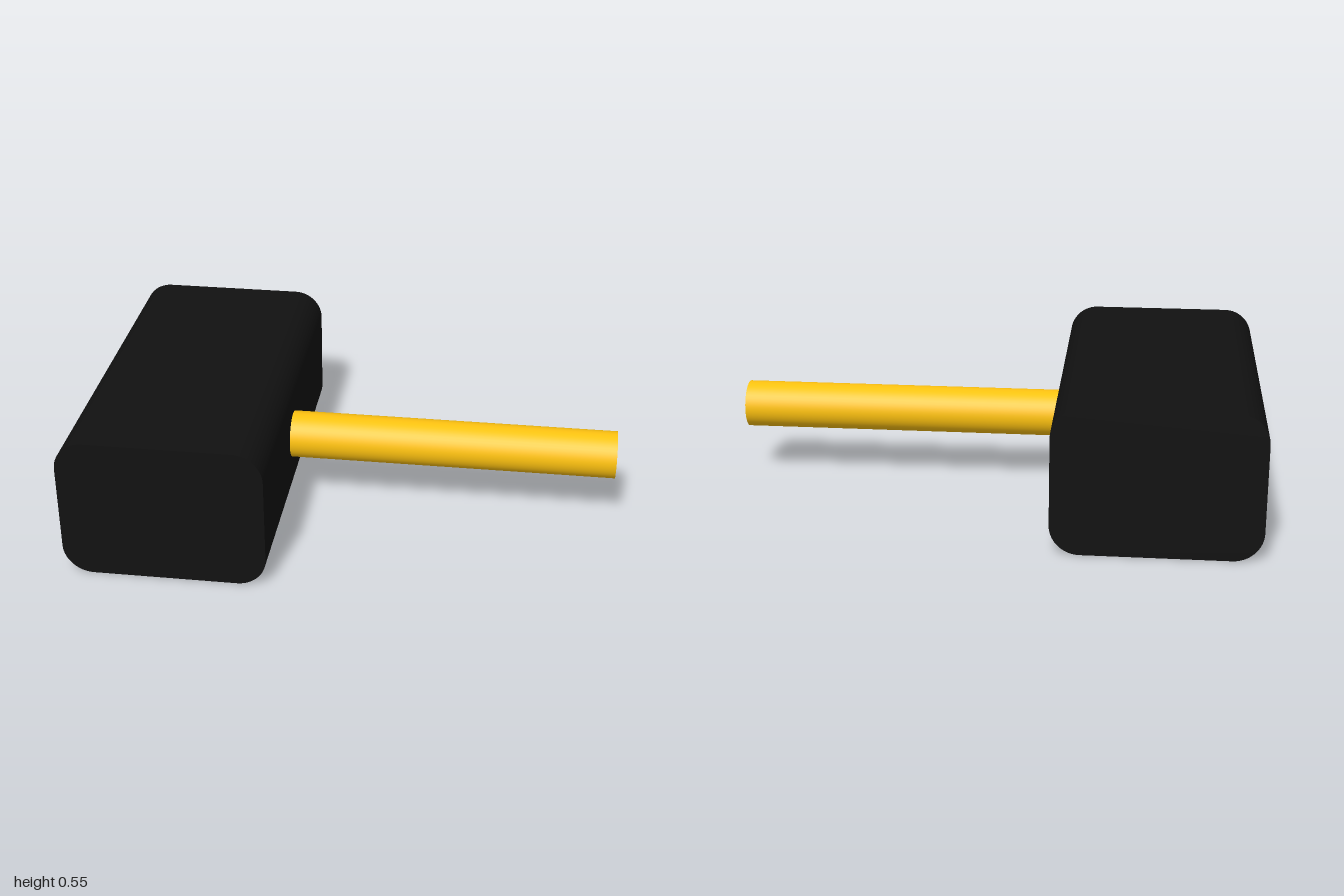
import * as THREE from 'three';
import { toCreasedNormals } from 'three/addons/utils/BufferGeometryUtils.js';

// Rounded rectangle, counter-clockwise, from (x0, y0) to (x1, y1)
function roundedRect(x0, y0, x1, y1, r) {
  const s = new THREE.Shape();
  s.absarc(x1 - r, y0 + r, r, -Math.PI / 2, 0);
  s.absarc(x1 - r, y1 - r, r, 0, Math.PI / 2);
  s.absarc(x0 + r, y1 - r, r, Math.PI / 2, Math.PI);
  s.absarc(x0 + r, y0 + r, r, Math.PI, Math.PI * 1.5);
  s.closePath();
  return s;
}

export function createModel() {
  const model = new THREE.Group();
  model.name = 'mallet';

  const rubber = new THREE.MeshStandardMaterial({ color: 0x111111 });
  const yellow = new THREE.MeshStandardMaterial({ color: 0xffc310 });
  const grey = new THREE.MeshStandardMaterial({ color: 0xcccccc });

  // Head: rounded block running front to back, with flat striking faces
  const depth = 1.36;
  const headGeometry = new THREE.ExtrudeGeometry(roundedRect(-1, 0, -0.245, 0.545, 0.11), {
    depth, bevelEnabled: false, curveSegments: 12,
  });
  headGeometry.translate(0, 0, -depth / 2);
  const head = new THREE.Mesh(toCreasedNormals(headGeometry, 0.6), rubber);
  head.name = 'head';
  model.add(head);

  // Handle: round bar sunk slightly into the head, with bare grey ends
  const start = -0.3, end = 1;
  const handleGeometry = new THREE.CylinderGeometry(0.09, 0.09, end - start, 48);
  handleGeometry.rotateZ(-Math.PI / 2);
  const handle = new THREE.Mesh(handleGeometry, [yellow, grey, grey]);
  handle.name = 'handle';
  handle.position.set((start + end) / 2, 0.28, 0.05);
  model.add(handle);

  return model;
}
